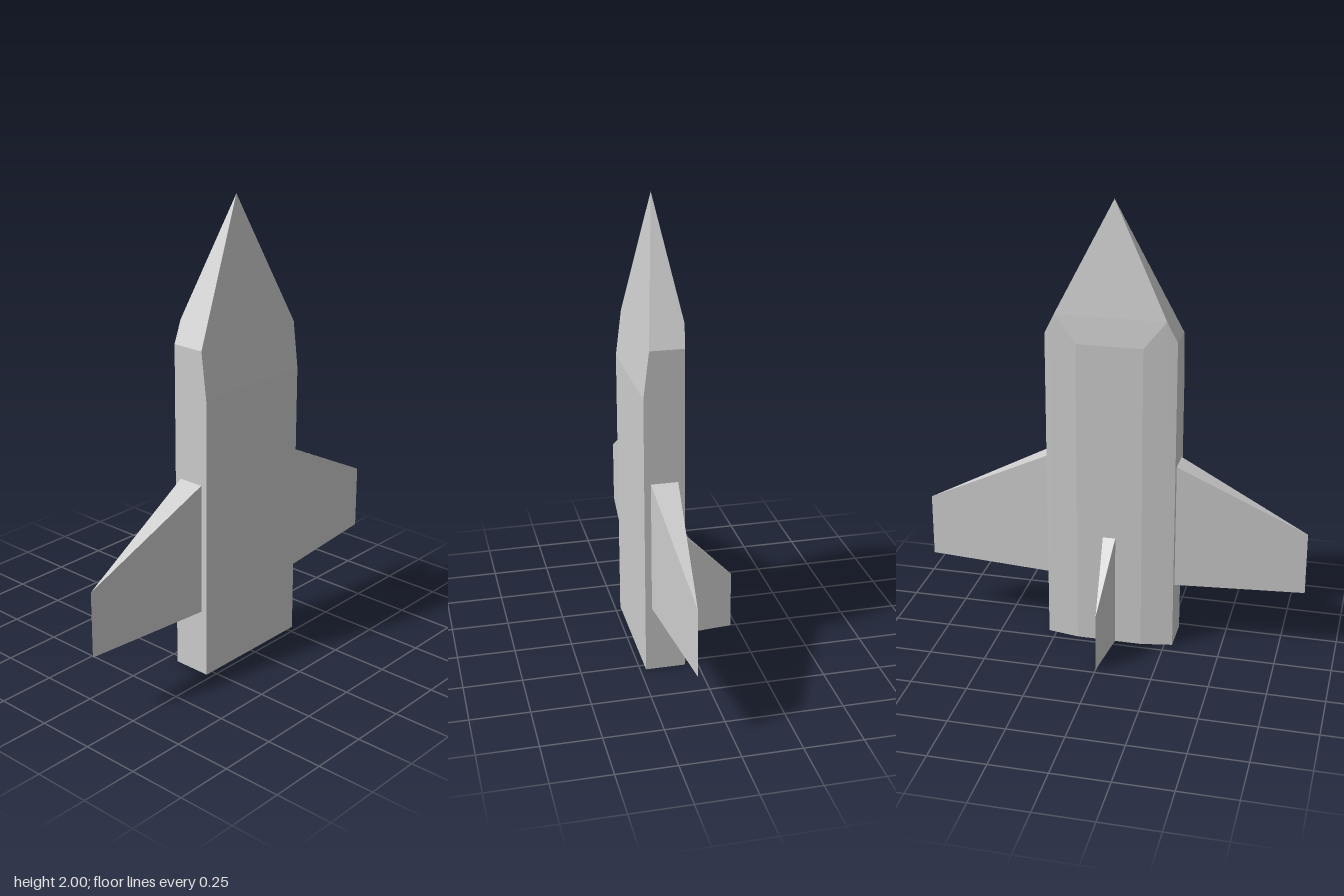
import * as THREE from 'three';
import { ConvexGeometry } from 'three/addons/geometries/ConvexGeometry.js';

const material = new THREE.MeshStandardMaterial({ color: 0xcccccc, flatShading: true });

// Convex solid from [x, y, z] corners; corners off the z = 0 plane may be mirrored
function solid(name, corners, mirrorZ = false) {
  const points = [];
  for (const [x, y, z] of corners) {
    points.push(new THREE.Vector3(x, y, z));
    if (mirrorZ && z !== 0) points.push(new THREE.Vector3(x, y, -z));
  }
  const mesh = new THREE.Mesh(new ConvexGeometry(points), material);
  mesh.name = name;
  return mesh;
}

export function createModel() {
  const model = new THREE.Group();
  model.name = 'rocketPlane';

  // Fuselage: flat belly at +x, bevelled back at -x, pyramid nose
  model.add(solid('fuselage', [
    [0.225, 0, 0.285], [0.225, 1.23, 0.285], [0.2, 1.43, 0.285],
    [0.055, 0, 0.285], [0.055, 1.43, 0.285], [0.046, 1.52, 0.24],
    [0.03, 0, 0.145], [0.03, 1.4, 0.145],
    [0.127, 2, 0],
  ], true));

  // Wings: blunt root tapering to a knife-edge tip
  for (const [name, s] of [['frontWing', 1], ['rearWing', -1]]) {
    const corners = [[0.14, 0.29, 0.855 * s], [0.14, 0.575, 0.855 * s]];
    for (const x of [0.083, 0.197])
      for (const y of [0.29, 0.86]) corners.push([x, y, 0.285 * s]);
    model.add(solid(name, corners));
  }

  // Tail fin on the back, same wedge form
  model.add(solid('tailFin', [
    [0.03, 0, 0.028], [0.03, 0.515, 0.028],
    [-0.225, 0, 0], [-0.225, 0.26, 0],
  ], true));

  return model;
}
